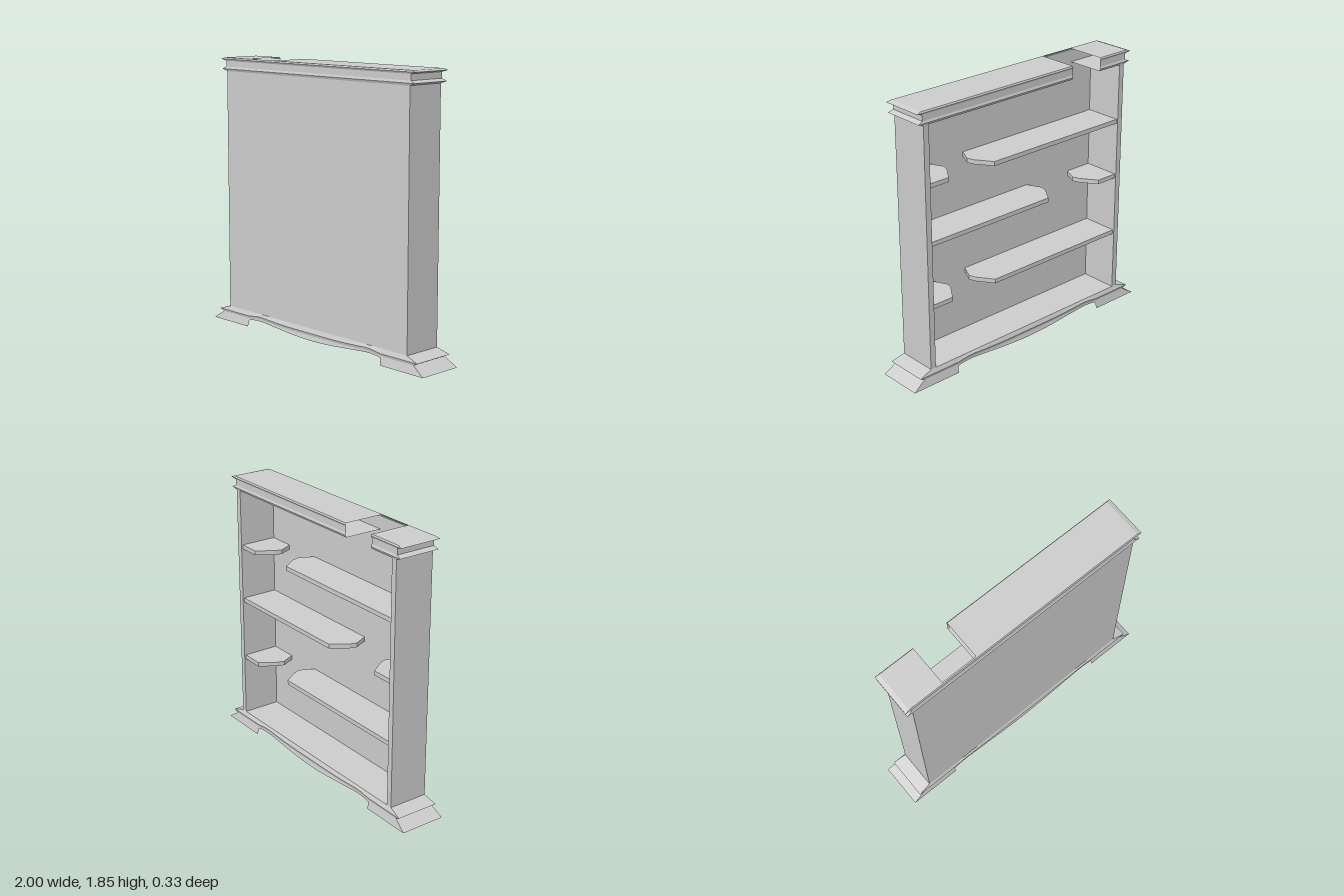
import * as THREE from 'three';

const solid = new THREE.MeshStandardMaterial({ color: 0xcccccc, flatShading: true });
const thin = new THREE.MeshStandardMaterial({ color: 0xcccccc, flatShading: true, side: THREE.DoubleSide });

const W = 0.85, D = 0.138, FLOOR = 0.1, CEILING = 1.76, WALL = 0.04;

export function createModel() {
  const group = new THREE.Group();

  const add = (name, geometry, material = solid) => {
    const mesh = new THREE.Mesh(geometry, material);
    mesh.name = name;
    group.add(mesh);
    return mesh;
  };

  const box = (name, x0, x1, y0, y1, z0, z1) =>
    add(name, new THREE.BoxGeometry(x1 - x0, y1 - y0, z1 - z0))
      .position.set((x0 + x1) / 2, (y0 + y1) / 2, (z0 + z1) / 2);

  // Skin stretched over rows of [x, y, z] points
  const skin = (name, rows) => {
    const p = [];
    for (let i = 0; i < rows.length - 1; i++) {
      for (let j = 0; j < rows[i].length - 1; j++) {
        const a = rows[i][j], b = rows[i][j + 1], c = rows[i + 1][j + 1], d = rows[i + 1][j];
        p.push(...a, ...b, ...c, ...a, ...c, ...d);
      }
    }
    const g = new THREE.BufferGeometry();
    g.setAttribute('position', new THREE.Float32BufferAttribute(p, 3));
    g.computeVertexNormals();
    add(name, g, thin);
  };

  // Case: front panel, side walls and floor; the back is open
  box('frontPanel', -W, W, FLOOR, 1.845, D - 0.01, D);
  for (const s of [-1, 1]) {
    const a = s * W, b = s * (W - WALL);
    box(s > 0 ? 'leftWall' : 'rightWall', Math.min(a, b), Math.max(a, b), FLOOR, CEILING, -D, D - 0.01);
  }
  box('floorBoard', -W, W, 0.065, FLOOR + 0.003, -D, D - 0.01);

  // Shelves: a pointed free end, the other end fixed to a side wall (side +1 or -1)
  const shelf = (side, top, length, thickness = 0.03) => {
    const wall = W - WALL, zf = D - 0.005, zb = -0.128;
    const pts = [[wall, zf], [wall - length, zf], [wall - length - 0.05, 0.03],
      [wall - length - 0.035, -0.02], [wall - length + 0.04, zb], [wall, zb]];
    const shape = new THREE.Shape(pts.map(([x, z]) => new THREE.Vector2(side * x, -z)));
    const g = new THREE.ExtrudeGeometry(shape, { depth: thickness, bevelEnabled: false });
    g.rotateX(-Math.PI / 2);
    add('shelf', g).position.y = top - thickness;
  };
  shelf(1, 1.375, 0.19);
  shelf(1, 0.985, 1.03);
  shelf(1, 0.55, 0.2);
  shelf(-1, 1.375, 1.14);
  shelf(-1, 0.975, 0.2);
  shelf(-1, 0.55, 1.14);

  // Crown: hollow moulding in two pieces, joined only along the front
  const crown = [[1.76, 0.85, 0.138], [1.775, 0.892, 0.145], [1.79, 0.857, 0.139],
    [1.83, 0.857, 0.139], [1.842, 0.9, 0.146], [1.852, 0.87, 0.14]];
  const gapLeft = -0.37, gapRight = -0.62;
  for (const [side, inner] of [[1, gapLeft], [-1, gapRight]]) {
    const rows = crown.map(([y, hx, hz]) =>
      [[inner, y, hz], [side * hx, y, hz], [side * hx, y, -hz], [inner, y, -hz]]);
    skin('crownMoulding', rows);
    for (const [name, r] of [['crownTop', rows[rows.length - 1]], ['crownCeiling', rows[0]]]) {
      skin(name, [[r[0], r[1]], [r[3], r[2]]]);
    }
  }
  skin('crownFrontBridge', crown.map(([y, , hz]) => [[gapRight, y, hz], [gapLeft, y, hz]]));

  // Base: flared plinth with corner feet and a wavy apron at front and back
  const plinth = [[0.105, 0.85, 0.138], [0.075, 0.945, 0.15], [0.058, 0.91, 0.145], [0, 1.0, 0.157]];
  // Half of the apron: x, lower edge height, lift of the ledge
  const half = [[0.637, 0, 0], [0.632, 0.045, 0], [0.6, 0.052, 0.004], [0.55, 0.056, 0.012],
    [0.5, 0.056, 0.014], [0.42, 0.05, 0.008], [0.32, 0.042, 0.003], [0.2, 0.033, 0], [0.1, 0.028, 0]];
  const apron = [...half, [0, 0.026, 0], ...half.map(([x, y, l]) => [-x, y, l]).reverse()];
  const baseRows = plinth.map(([y, hx, hz], level) => {
    const run = (s) => [
      [s * hx, y, s * hz],
      ...apron.map(([x, low, lift]) => {
        if (level < 3) return [s * x, y + (level ? lift : 0), s * hz];
        return [s * x, low, s * (0.157 - 0.012 * (low / 0.058))];
      }),
      [-s * hx, y, s * hz],
    ];
    const loop = [...run(1), ...run(-1)];
    return [...loop, loop[0]];
  });
  skin('plinth', baseRows);
  // Flat shoulder closing the plinth around the case
  const [ty, tx, tz] = plinth[0];
  skin('plinthTop', [[[-tx, ty, tz], [tx, ty, tz]], [[-tx, ty, -tz], [tx, ty, -tz]]]);

  // The whole case stands very slightly turned
  group.rotation.y = 0.01;
  return group;
}
